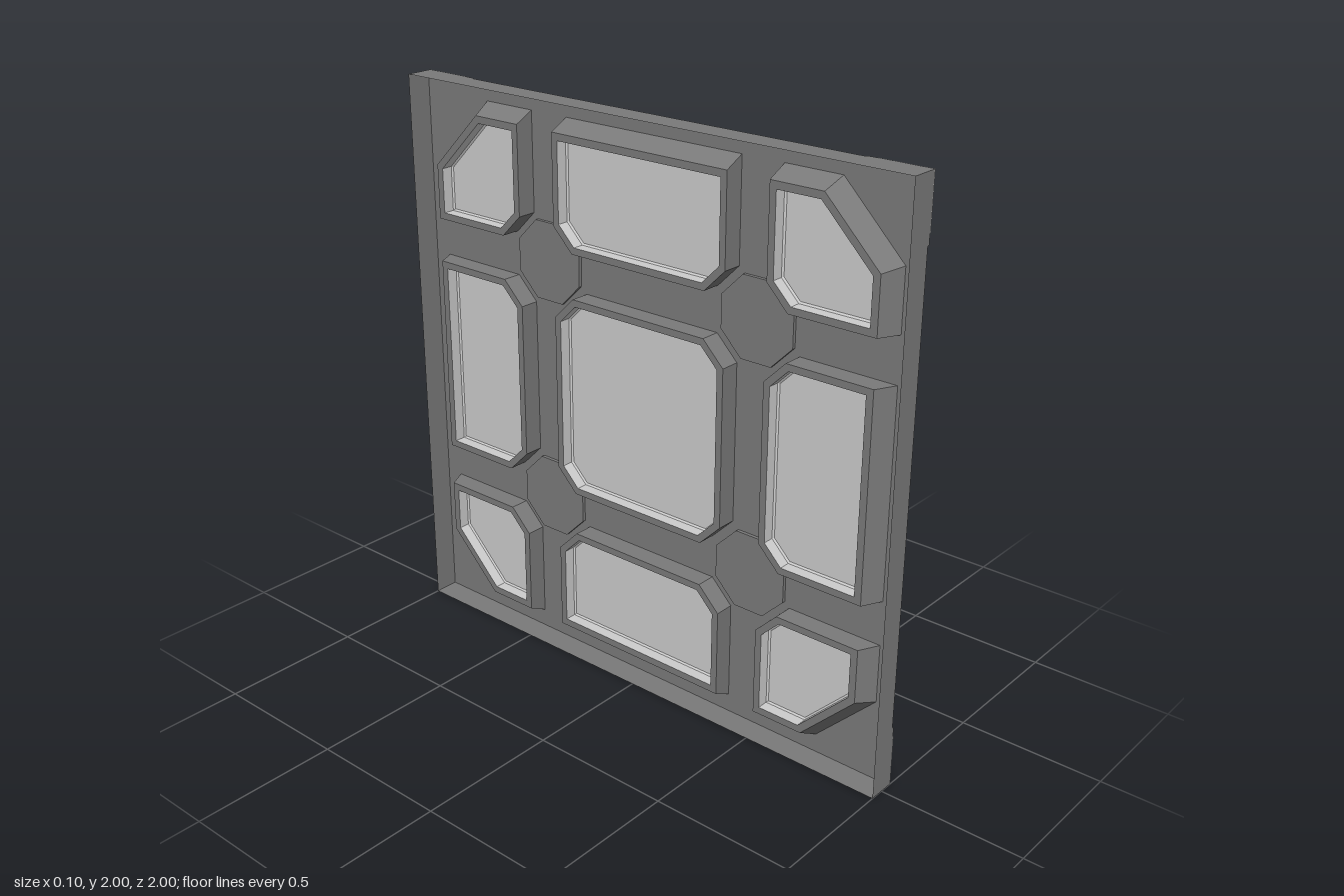
import * as THREE from 'three';

// Outlines are drawn in (u, v) = (-z, y - 1), seen from the panel's +x face.
const FRONT = 0.04, BACK = -0.05, LEDGE = -0.03, PANE = 0.015;

const frameMat = new THREE.MeshStandardMaterial({ color: 0x7a7a7a, side: THREE.DoubleSide });
frameMat.name = 'darkGrey';
const paneMat = new THREE.MeshStandardMaterial({ color: 0xcccccc, side: THREE.DoubleSide });
paneMat.name = 'lightGrey';

function toShape(points) {
  return new THREE.Shape(points.map(([u, v]) => new THREE.Vector2(u, v)));
}

// Rectangle with cut corners; cuts run bottom left, bottom right, top right, top left
function cutRect(u0, u1, v0, v1, [a, b, c, d]) {
  const pts = [];
  if (a) pts.push([u0, v0 + a], [u0 + a, v0]); else pts.push([u0, v0]);
  if (b) pts.push([u1 - b, v0], [u1, v0 + b]); else pts.push([u1, v0]);
  if (c) pts.push([u1, v1 - c], [u1 - c, v1]); else pts.push([u1, v1]);
  if (d) pts.push([u0 + d, v1], [u0, v1 - d]); else pts.push([u0, v1]);
  return pts;
}

// Flat-sided band joining two outlines at different depths
function band(a, xa, b, xb) {
  const pos = [];
  const put = ([u, v], x) => pos.push(x, v + 1, -u);
  a.forEach((p, i) => {
    const j = (i + 1) % a.length;
    put(p, xa); put(a[j], xa); put(b[j], xb);
    put(p, xa); put(b[j], xb); put(b[i], xb);
  });
  const geo = new THREE.BufferGeometry();
  geo.setAttribute('position', new THREE.Float32BufferAttribute(pos, 3));
  geo.computeVertexNormals();
  return geo;
}

function cap(shape, x) {
  return new THREE.ShapeGeometry(shape).rotateY(Math.PI / 2).translate(x, 1, 0);
}

function plate(points, x, depth) {
  return new THREE.ExtrudeGeometry(toShape(points), { depth, bevelEnabled: false })
    .rotateY(Math.PI / 2).translate(x, 0, 0);
}

export function createModel() {
  const model = new THREE.Group();
  const add = (name, geo, mat, parent = model) => {
    const mesh = new THREE.Mesh(geo, mat);
    mesh.name = name;
    parent.add(mesh);
    return mesh;
  };

  const square = cutRect(-1, 1, -1, 1, [0, 0, 0, 0]);
  const face = toShape(square);
  const spans = [[-0.935, -0.51], [-0.355, 0.355], [0.51, 0.935]];

  // Nine pockets, each with a raised hollow pane
  spans.forEach(([u0, u1], col) => spans.forEach(([v0, v1], row) => {
    const outer = [col === 0, col === 2, row === 0, row === 2];
    const [l, r, b, t] = outer;
    const cutFor = (p, q) => (p && q ? 0.22 : p || q ? 0 : 0.08);
    const cuts = [cutFor(l, b), cutFor(r, b), cutFor(r, t), cutFor(l, t)];
    // rim sides slope inward by "rim", the other sides step in by "bar"
    const inset = (rim, bar) => {
      const [dl, dr, db, dt] = outer.map(o => (o ? rim : bar));
      const pairs = [[dl, db], [dr, db], [dr, dt], [dl, dt]];
      return cutRect(u0 + dl, u1 - dr, v0 + db, v1 - dt,
        cuts.map((c, i) => (c ? c - 0.293 * (pairs[i][0] + pairs[i][1]) : 0)));
    };
    const mouth = inset(0, 0), foot = inset(0.035, 0);
    const base = inset(0.06, 0.024), top = inset(0.066, 0.03);
    face.holes.push(toShape(mouth));

    const pocket = new THREE.Group();
    pocket.name = 'pocket';
    model.add(pocket);
    add('pocketWall', band(foot, LEDGE, mouth, FRONT), frameMat, pocket);
    add('pocketLedge', band(foot, LEDGE, base, LEDGE), frameMat, pocket);
    add('paneSide', band(base, LEDGE, base, PANE - 0.005), paneMat, pocket);
    add('paneBevel', band(base, PANE - 0.005, top, PANE), paneMat, pocket);
    add('paneFace', cap(toShape(top), PANE), paneMat, pocket);
  }));

  // Shallow octagons where the bars cross
  for (const u of [-0.435, 0.435]) for (const v of [-0.435, 0.435]) {
    const h = 0.137;
    const oct = cutRect(u - h, u + h, v - h, v + h, [0.08, 0.08, 0.08, 0.08]);
    face.holes.push(toShape(oct));
    add('octagonWall', band(oct, FRONT - 0.012, oct, FRONT), frameMat);
    add('octagonFace', cap(toShape(oct), FRONT - 0.012), frameMat);
  }

  // Front face and outer walls, open at the back
  add('frontFace', cap(face, FRONT), frameMat);
  add('outerWall', band(square, BACK, square, FRONT), frameMat);

  // Raised corner plates with light inlays
  const gusset = [[1, 1], [0.785, 1], [0.785, 0.985], [0.985, 0.785], [1, 0.785]];
  const inlay = [[1, 1], [0.82, 1], [0.825, 0.98], [0.98, 0.825], [1, 0.82]];
  for (let i = 0; i < 4; i++) {
    const corner = new THREE.Group();
    corner.name = 'corner';
    corner.position.y = 1;
    corner.rotation.x = i * Math.PI / 2;
    model.add(corner);
    add('cornerPlate', plate(gusset, FRONT, 0.007), frameMat, corner);
    add('cornerInlay', plate(inlay, FRONT + 0.007, 0.003), paneMat, corner);
  }
  return model;
}
